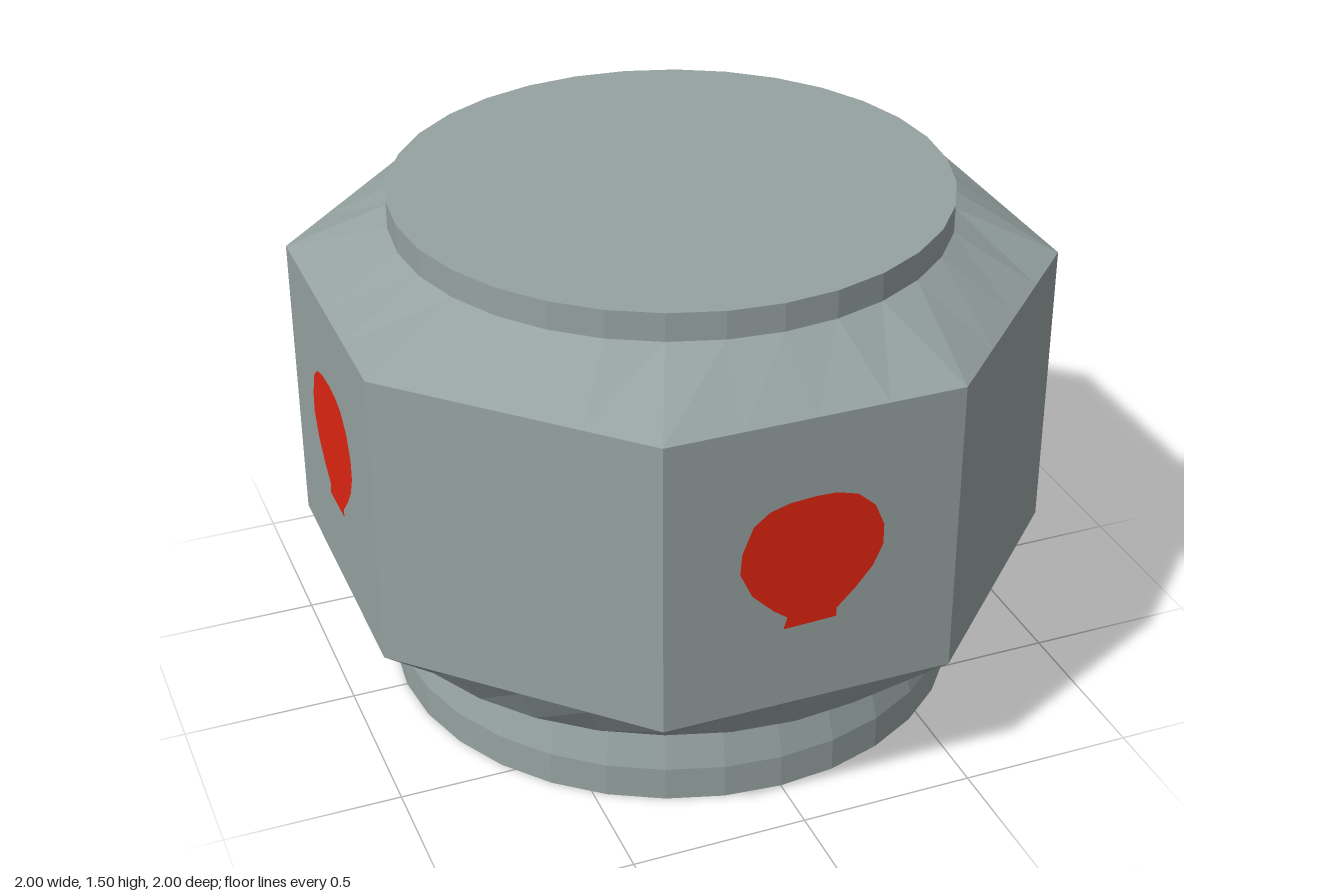
import * as THREE from 'three';

const SIDES = 32;
const STEP = (Math.PI * 2) / SIDES;

// Radius rules: a circle, and an octagon whose flat sides face the axes
const circle = (r) => () => r;
const octagon = (apothem) => (a) => {
  const nearest = Math.round(a / (Math.PI / 4)) * (Math.PI / 4);
  return apothem / Math.cos(a - nearest);
};

// Skin running upwards through rings of [y, radius rule], closed with flat caps
function loft(rings) {
  const pos = [];
  const point = ([y, radius], i) => {
    const a = (i % SIDES) * STEP;
    const r = radius(a);
    return [Math.sin(a) * r, y, Math.cos(a) * r];
  };
  const first = rings[0];
  const last = rings[rings.length - 1];
  for (let i = 0; i < SIDES; i++) {
    for (let k = 0; k < rings.length - 1; k++) {
      const a = point(rings[k], i), b = point(rings[k], i + 1);
      const c = point(rings[k + 1], i + 1), d = point(rings[k + 1], i);
      pos.push(...a, ...b, ...c, ...a, ...c, ...d);
    }
    pos.push(0, first[0], 0, ...point(first, i + 1), ...point(first, i));
    pos.push(0, last[0], 0, ...point(last, i), ...point(last, i + 1));
  }
  const geo = new THREE.BufferGeometry();
  geo.setAttribute('position', new THREE.Float32BufferAttribute(pos, 3));
  geo.computeVertexNormals();
  return geo;
}

export function createModel() {
  const model = new THREE.Group();
  model.name = 'octagonalDrum';

  const stone = new THREE.MeshStandardMaterial({ color: 0x95a2a0 });
  stone.name = 'greyStone';
  const red = new THREE.MeshStandardMaterial({ color: 0xe02510 });
  red.name = 'redPaint';

  const add = (name, geo, mat) => {
    const mesh = new THREE.Mesh(geo, mat);
    mesh.name = name;
    model.add(mesh);
    return mesh;
  };

  // Round foot with a tapering neck
  add('foot', loft([[0, circle(0.838)], [0.1, circle(0.838)], [0.285, circle(0.785)]]), stone);

  // Octagonal body blending into circles above and below
  add('body', loft([
    [0.283, circle(0.92)],
    [0.418, octagon(1)],
    [1.28, octagon(1)],
    [1.415, circle(0.785)],
  ]), stone);

  // Round lid
  add('lid', loft([[1.41, circle(0.787)], [1.495, circle(0.787)]]), stone);

  // Painted emblem on the four axis-facing sides: bulb with a short flat stem
  const outline = [
    [0, 1.05], [-0.07, 1.045], [-0.125, 1.03], [-0.17, 0.995], [-0.2, 0.92], [-0.205, 0.86],
    [-0.17, 0.785], [-0.11, 0.725], [-0.07, 0.695], [-0.08, 0.66],
    [0.07, 0.665], [0.07, 0.69], [0.125, 0.745], [0.17, 0.8], [0.197, 0.86],
    [0.197, 0.92], [0.17, 0.985], [0.12, 1.03], [0.06, 1.048],
  ].map(([x, y]) => new THREE.Vector2(x, y));
  const emblem = new THREE.ShapeGeometry(new THREE.Shape(outline));
  emblem.translate(0, 0, 1.002);
  ['front', 'left', 'back', 'right'].forEach((side, i) => {
    add(side + 'Emblem', emblem, red).rotation.y = (i * Math.PI) / 2;
  });

  return model;
}
